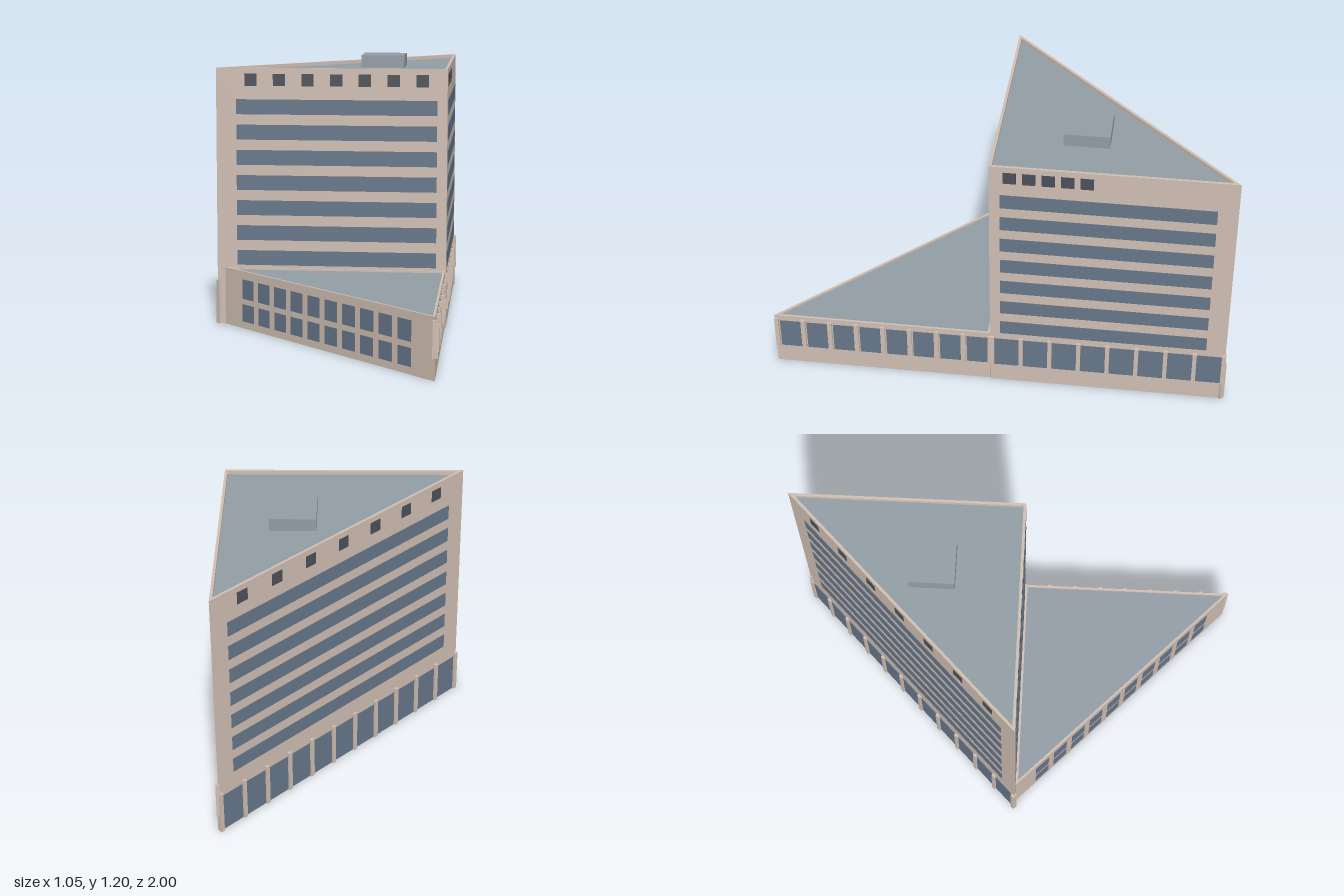
import * as THREE from 'three';

const material = (name, color) => {
  const m = new THREE.MeshStandardMaterial({ color });
  m.name = name;
  return m;
};

export function createModel() {
  const stone = material('stone', 0xcfbeb2);
  const glass = material('glass', 0x667689);
  const roofGrey = material('roof grey', 0x929ca4);
  const ventDark = material('vent dark', 0x4c5057);

  const model = new THREE.Group();
  model.name = 'building';

  const add = (parent, name, geometry, mat, x = 0, y = 0, z = 0) => {
    const mesh = new THREE.Mesh(geometry, mat);
    mesh.name = name;
    mesh.position.set(x, y, z);
    parent.add(mesh);
    return mesh;
  };

  // Triangle corners are [x, z]; inset moves all sides inward by t
  const inset = (tri, t) => {
    const [a, b, c] = tri.map(p => new THREE.Vector2(...p));
    const la = b.distanceTo(c), lb = c.distanceTo(a), lc = a.distanceTo(b);
    const sum = la + lb + lc;
    const centre = a.clone().multiplyScalar(la).addScaledVector(b, lb).addScaledVector(c, lc).divideScalar(sum);
    const area = Math.abs(b.clone().sub(a).cross(c.clone().sub(a))) / 2;
    const k = 1 - t / (2 * area / sum);
    return [a, b, c].map(p => p.sub(centre).multiplyScalar(k).add(centre).toArray());
  };

  // Upright prism, optionally hollowed to a wall of the given thickness
  const prism = (tri, height, wall = 0) => {
    const points = t => t.map(([x, z]) => new THREE.Vector2(x, -z));
    const shape = new THREE.Shape(points(tri));
    if (wall) shape.holes.push(new THREE.Path(points(inset(tri, wall))));
    return new THREE.ExtrudeGeometry(shape, { depth: height, bevelEnabled: false }).rotateX(-Math.PI / 2);
  };

  // Wall frame: local x runs from a to b, local z points outward
  const facade = (name, a, b) => {
    const g = new THREE.Group();
    g.name = name;
    g.position.set(a[0], 0, a[1]);
    g.rotation.y = Math.atan2(-(b[1] - a[1]), b[0] - a[0]);
    model.add(g);
    return g;
  };

  // Plate from u0..u1 and y0..y1, standing proud of the wall by d
  const plate = (wall, name, u0, u1, y0, y1, mat, d = 0.002) =>
    add(wall, name, new THREE.BoxGeometry(u1 - u0, y1 - y0, d * 2), mat, (u0 + u1) / 2, (y0 + y1) / 2, 0);

  // Tower
  const W = [-0.52, 0.035], E = [0.51, 0.035], N = [0.51, -0.99];
  const tower = [W, E, N];
  add(model, 'towerBody', prism(tower, 1.14), stone);
  add(model, 'towerParapet', prism(tower, 0.02, 0.012), stone, 0, 1.14, 0);
  add(model, 'towerRoof', prism(inset(tower, 0.012), 0.004), roofGrey, 0, 1.14, 0);
  add(model, 'roofHouse', new THREE.BoxGeometry(0.195, 0.06, 0.195), roofGrey, 0.203, 1.17, -0.347);

  // Low wing, open underneath
  const lowW = [-0.485, 0.037], lowE = [0.505, 0.037], lowS = [0.505, 1.0];
  const wing = [lowW, lowS, lowE];
  add(model, 'wingWalls', prism(wing, 0.26, 0.01), stone);
  add(model, 'wingRoof', prism(inset(wing, 0.009), 0.006), roofGrey, 0, 0.246, 0);

  const front = facade('towerFront', W, E);
  const right = facade('towerRight', E, N);
  const back = facade('towerBack', N, W);
  const backLength = Math.hypot(N[0] - W[0], N[1] - W[1]);

  // Window bands and the row of top vents on each tower face
  const dressTower = (wall, u0, u1, vents, firstVent, ventStep) => {
    for (let i = 0; i < 7; i++) {
      const y = 0.272 + i * 0.1135;
      plate(wall, 'windowBand', u0, u1, y, y + 0.067, glass);
    }
    for (let i = 0; i < vents; i++) {
      const u = firstVent + i * ventStep;
      plate(wall, 'vent', u - 0.0275, u + 0.0275, 1.08, 1.134, ventDark);
    }
  };
  dressTower(front, 0.09, 0.985, 7, 0.155, 0.1275);
  dressTower(right, 0.045, 0.94, 5, 0.085, 0.08);
  dressTower(back, backLength * 0.06, backLength * 0.94, 7, backLength * 0.117, backLength * 0.1277);

  // Ground-floor glazing between pilasters
  const arcade = (wall, start, step, count, y0, glassTop, postTop, gap) => {
    for (let i = 0; i <= count; i++) {
      const u = start + i * step;
      plate(wall, 'pilaster', u - 0.009, u + 0.009, y0, postTop, stone, 0.011);
      if (i < count) plate(wall, 'groundWindow', u + gap, u + step - gap, y0, glassTop, glass);
    }
  };
  arcade(right, 0.01, 0.1262, 8, 0.09, 0.238, 0.25, 0.009);
  arcade(back, 0.008, (backLength - 0.016) / 11, 11, 0.001, 0.18, 0.2, 0.008);
  const wingRight = facade('wingRight', lowS, lowE);
  arcade(wingRight, 0.01, 0.1195, 8, 0.09, 0.232, 0.246, 0.014);

  // Two rows of windows on the slanted wing wall
  const wingFront = facade('wingFront', lowW, lowS);
  const slope = Math.hypot(lowS[0] - lowW[0], lowS[1] - lowW[1]) / (lowS[0] - lowW[0]);
  for (let i = 0; i < 10; i++) {
    const u = (0.093 + i * 0.0823) * slope, w = 0.057 * slope;
    plate(wingFront, 'wingWindow', u, u + w, 0.032, 0.11, glass);
    plate(wingFront, 'wingWindow', u, u + w, 0.135, 0.223, glass);
  }

  return model;
}
